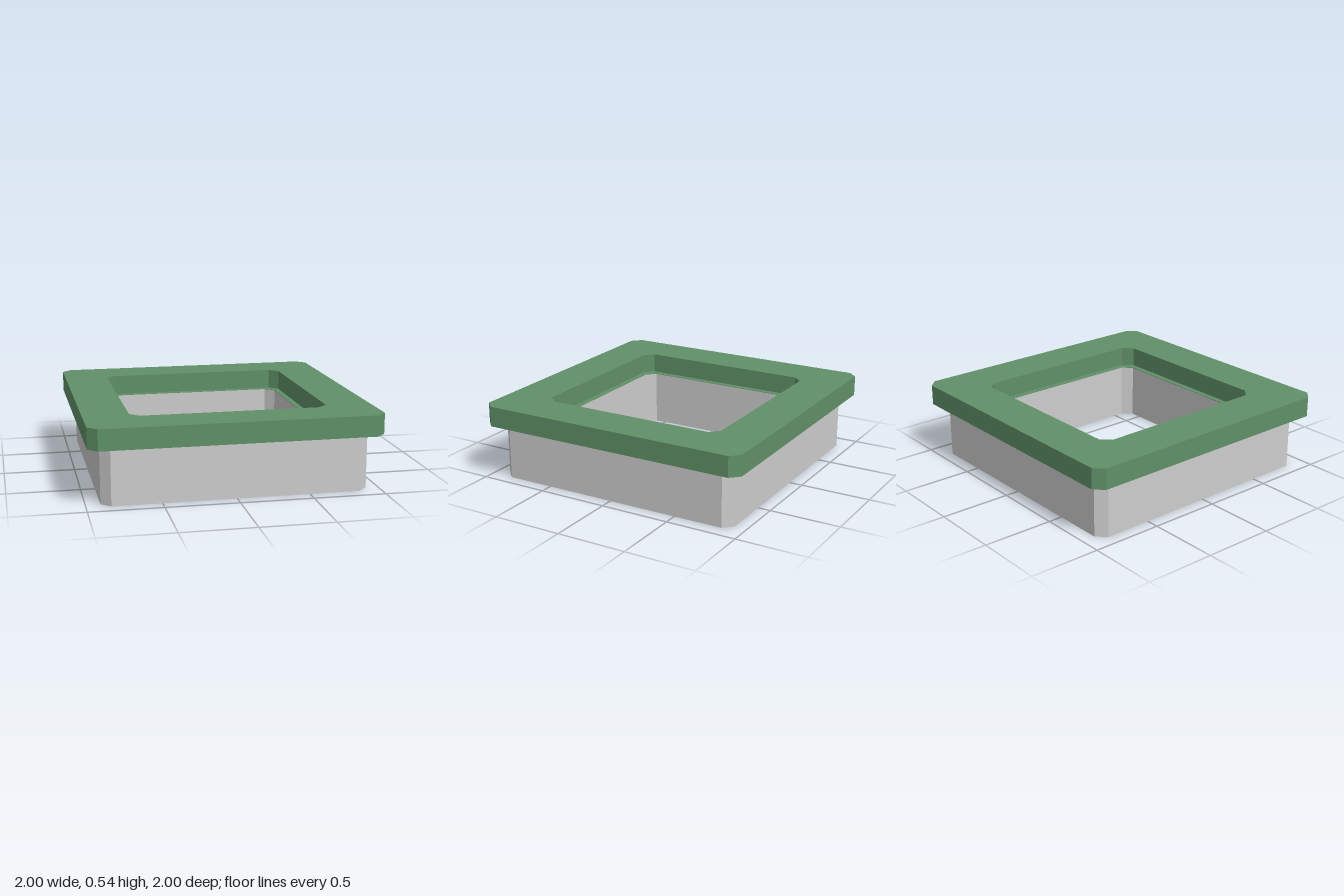
import * as THREE from 'three';

const green = new THREE.MeshStandardMaterial({ name: 'green', color: 0x609168 });
const grey = new THREE.MeshStandardMaterial({ name: 'lightGrey', color: 0xcdcdcd });

// Square outline with clipped corners; h is the half width
function clippedSquare(h, Kind, cut = 0.064) {
  const c = h - cut;
  return new Kind([
    [h, -c], [h, c], [c, h], [-c, h], [-h, c], [-h, -c], [-c, -h], [c, -h],
  ].map(([x, y]) => new THREE.Vector2(x, y)));
}

// Flat-sided square ring standing between two heights
function ring(name, outer, inner, bottom, top, material) {
  const shape = clippedSquare(outer, THREE.Shape);
  shape.holes.push(clippedSquare(inner, THREE.Path));
  const geometry = new THREE.ExtrudeGeometry(shape, { depth: top - bottom, bevelEnabled: false });
  geometry.rotateX(-Math.PI / 2).translate(0, bottom, 0);
  const mesh = new THREE.Mesh(geometry, material);
  mesh.name = name;
  return mesh;
}

export function createModel() {
  const model = new THREE.Group();
  model.name = 'squareFrame';
  model.add(
    ring('baseWall', 0.907, 0.638, 0, 0.395, grey),
    ring('topRim', 0.9935, 0.68, 0.395, 0.54, green),
    // Narrow green step inside the rim
    ring('innerLedge', 0.68, 0.638, 0.395, 0.398, green),
  );
  // The whole frame sits very slightly turned
  model.rotation.y = 0.007;
  return model;
}
